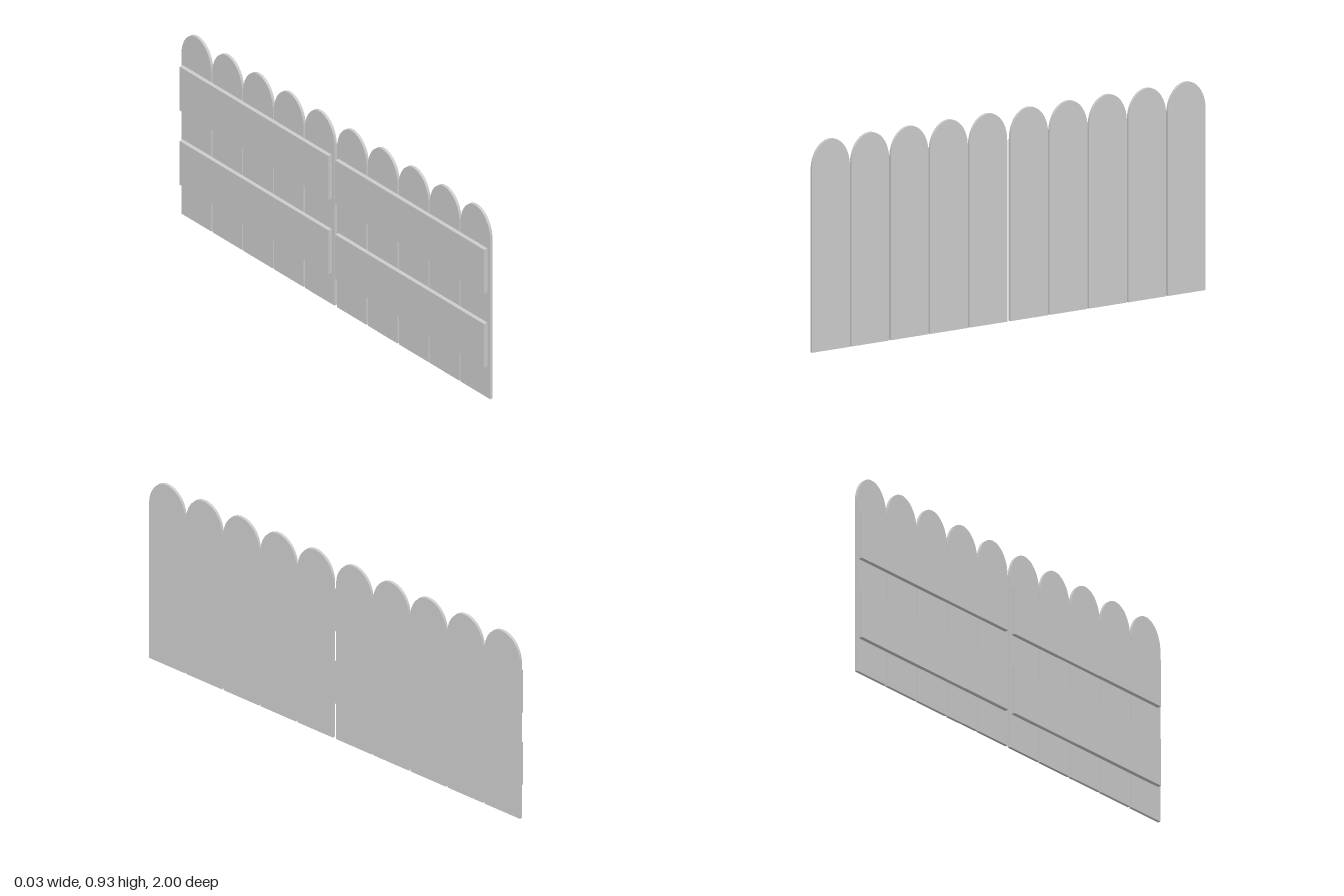
import * as THREE from 'three';

const PLANK_W = 0.192, PITCH = 0.2, SHOULDER = 0.8, TOP = 0.93;
const FRONT_X = 0.015, JOIN_X = 0.002, BACK_X = -0.017;
const PANEL_STEP = 1.008;

const material = new THREE.MeshStandardMaterial({ color: 0xcccccc, flatShading: true });

// Upright board with a rounded top, its flat face turned towards +x
function plankGeometry() {
  const h = PLANK_W / 2;
  const shape = new THREE.Shape();
  shape.moveTo(-h, 0);
  shape.lineTo(h, 0);
  shape.lineTo(h, SHOULDER);
  shape.absellipse(0, SHOULDER, h, TOP - SHOULDER, 0, Math.PI, false, 0);
  shape.closePath();
  const geometry = new THREE.ExtrudeGeometry(shape, {
    depth: FRONT_X - JOIN_X, bevelEnabled: false, curveSegments: 18,
  });
  geometry.rotateY(-Math.PI / 2);
  geometry.translate(FRONT_X, 0, 0);
  return geometry;
}

// One fence panel: five planks held by two wide rails behind them
function createPanel(name) {
  const panel = new THREE.Group();
  panel.name = name;

  const plank = plankGeometry();
  for (let i = 0; i < 5; i++) {
    const mesh = new THREE.Mesh(plank, material);
    mesh.name = `plank${i + 1}`;
    mesh.position.z = 1 - PLANK_W / 2 - i * PITCH;
    panel.add(mesh);
  }

  const rail = new THREE.BoxGeometry(JOIN_X - BACK_X, 0.22, 0.965);
  for (const [railName, y] of [['lowerRail', 0.267], ['upperRail', 0.64]]) {
    const mesh = new THREE.Mesh(rail, material);
    mesh.name = railName;
    mesh.position.set((JOIN_X + BACK_X) / 2, y, 0.5);
    panel.add(mesh);
  }
  return panel;
}

export function createModel() {
  const fence = new THREE.Group();
  fence.name = 'fence';
  const frontPanel = createPanel('frontPanel');
  const rearPanel = createPanel('rearPanel');
  rearPanel.position.z = -PANEL_STEP;
  fence.add(frontPanel, rearPanel);
  return fence;
}
